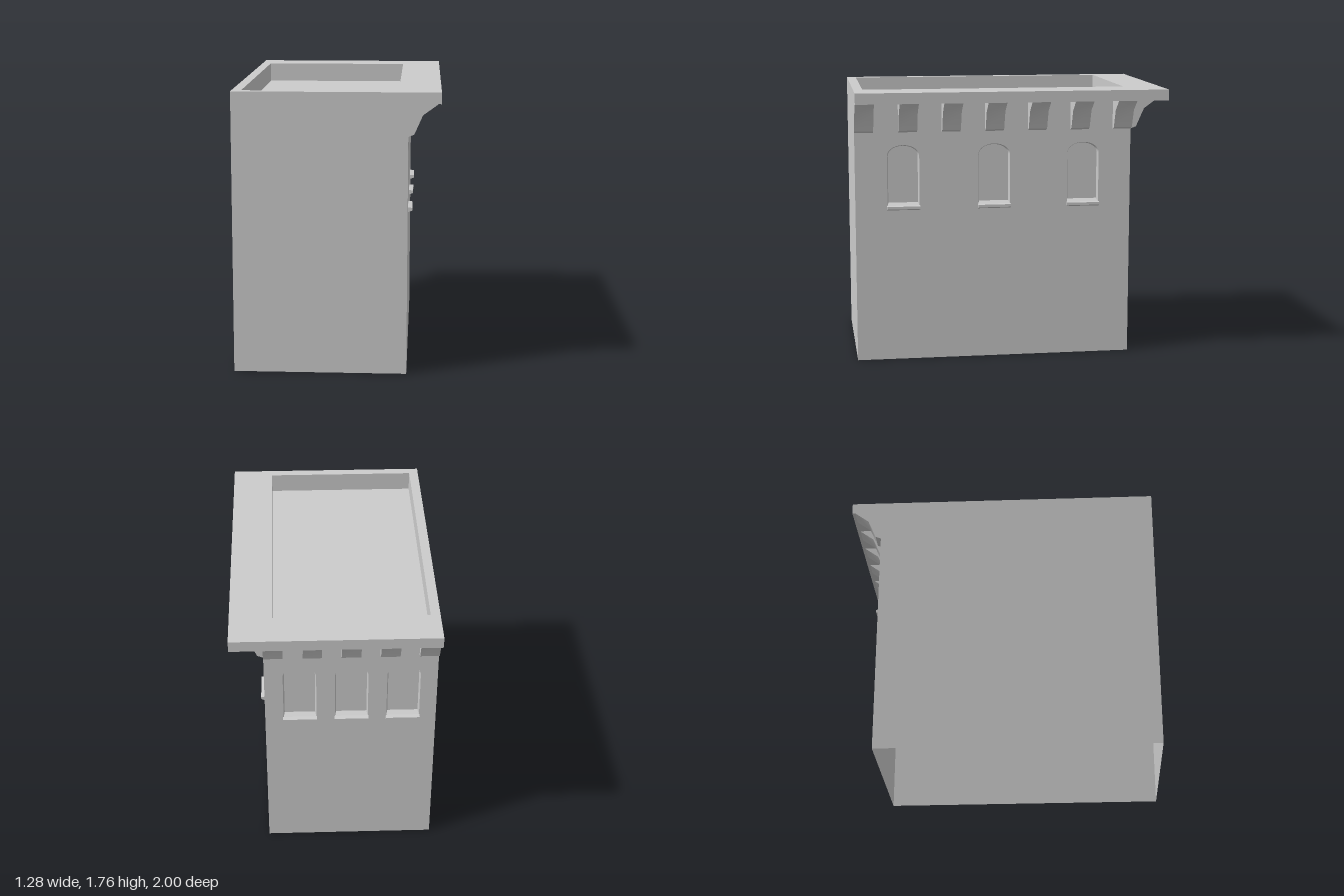
import * as THREE from 'three';
import { toCreasedNormals } from 'three/addons/utils/BufferGeometryUtils.js';

const stone = new THREE.MeshStandardMaterial({ color: 0xcccccc, side: THREE.DoubleSide });

// Overall extents
const LEFT = -0.64, RIGHT = 0.44, BACK = -0.8, FRONT = 1;
const EAVE = 1.695, TOP = 1.765, FLOOR = 1.64;
const CORBEL_W = 0.12;

function add(parent, name, geometry) {
  const mesh = new THREE.Mesh(geometry, stone);
  mesh.name = name;
  parent.add(mesh);
  return mesh;
}

function rect(x0, y0, x1, y1) {
  return [[x0, y0], [x1, y0], [x1, y1], [x0, y1]].map(p => new THREE.Vector2(...p));
}

// Counter-clockwise outline of a window with a flattened arch
function archOutline(u, half, bottom, spring, rise) {
  const pts = [new THREE.Vector2(u - half, bottom), new THREE.Vector2(u + half, bottom)];
  const n = 14;
  for (let i = 0; i <= n; i++) {
    const a = Math.PI * i / n;
    pts.push(new THREE.Vector2(u + half * Math.cos(a), spring + rise * Math.sin(a)));
  }
  return pts;
}

// Band of quads from an outline at z = 0 to a second one at z = -depth
function reveal(outer, inner, depth) {
  const pos = [], index = [], n = outer.length;
  for (let i = 0; i < n; i++) {
    pos.push(outer[i].x, outer[i].y, 0, inner[i].x, inner[i].y, -depth);
    const a = 2 * i, b = 2 * ((i + 1) % n);
    index.push(a, b, b + 1, a, b + 1, a + 1);
  }
  const g = new THREE.BufferGeometry();
  g.setAttribute('position', new THREE.Float32BufferAttribute(pos, 3));
  g.setIndex(index);
  return toCreasedNormals(g, 0.6);
}

// Side profile (outward, up) stretched across a width, centred on u
function profileBlock(points, width, u) {
  const shape = new THREE.Shape(points.map(p => new THREE.Vector2(...p)));
  const g = new THREE.ExtrudeGeometry(shape, { depth: width, bevelEnabled: false });
  g.rotateY(-Math.PI / 2);
  g.translate(u + width / 2, 0, 0);
  return toCreasedNormals(g, 0.6);
}

// Wall in its own plane facing +z, with recessed windows, sills and corbels
function decoratedWall(name, u0, u1, windows, corbels) {
  const wall = new THREE.Group();
  wall.name = name;
  const face = new THREE.Shape(rect(u0, 0, u1, EAVE));

  windows.forEach(u => {
    const outer = archOutline(u, 0.104, 1.015, 1.343, 0.07);
    const inner = archOutline(u, 0.096, 1.036, 1.341, 0.064);
    face.holes.push(new THREE.Path(outer));
    add(wall, 'windowReveal', reveal(outer, inner, 0.03));
    add(wall, 'windowPanel', new THREE.ShapeGeometry(new THREE.Shape(inner))).position.z = -0.03;
    add(wall, 'windowSill',
      profileBlock([[0, 0.99], [0.027, 1.0], [0.027, 1.017], [0, 1.02]], 0.214, u));
  });
  add(wall, 'wallFace', new THREE.ShapeGeometry(face));

  // Corbels run evenly from corner to corner
  const step = (u1 - u0 - CORBEL_W) / (corbels - 1);
  for (let i = 0; i < corbels; i++) {
    add(wall, 'corbel', profileBlock(
      [[0, 1.495], [0.036, 1.509], [0.088, 1.627], [0.175, 1.69], [0.18, EAVE], [0, EAVE]],
      CORBEL_W, u0 + CORBEL_W / 2 + i * step));
  }
  return wall;
}

export function createModel() {
  const model = new THREE.Group();
  model.name = 'building';

  // Decorated walls
  const rightWall = decoratedWall('rightWall', -FRONT, -BACK, [-0.69, -0.1, 0.485], 7);
  rightWall.rotation.y = Math.PI / 2;
  rightWall.position.x = RIGHT;
  const backWall = decoratedWall('backWall', -RIGHT, -LEFT, [-0.22, 0.105, 0.43], 5);
  backWall.rotation.y = Math.PI;
  backWall.position.z = BACK;
  model.add(rightWall, backWall);

  // Plain walls
  const frontWall = add(model, 'frontWall', new THREE.PlaneGeometry(RIGHT - LEFT, EAVE));
  frontWall.position.set((LEFT + RIGHT) / 2, EAVE / 2, FRONT);
  const plainWall = add(model, 'plainSideWall', new THREE.PlaneGeometry(FRONT - BACK, EAVE));
  plainWall.rotation.y = -Math.PI / 2;
  plainWall.position.set(LEFT, EAVE / 2, (FRONT + BACK) / 2);

  // Overhanging cornice slab around the roof well
  const well = rect(-0.58, -0.94, 0.38, 0.76);
  const slab = new THREE.Shape(rect(-0.64, -1, 0.64, 1));
  slab.holes.push(new THREE.Path(well));
  const cornice = add(model, 'cornice',
    new THREE.ExtrudeGeometry(slab, { depth: TOP - EAVE, bevelEnabled: false }));
  cornice.rotation.x = -Math.PI / 2;
  cornice.position.y = EAVE;

  // Sunken roof
  const parapet = add(model, 'parapetInside', reveal(well, well, EAVE - FLOOR));
  parapet.rotation.x = -Math.PI / 2;
  parapet.position.y = EAVE;
  const roof = add(model, 'roofFloor', new THREE.ShapeGeometry(new THREE.Shape(well)));
  roof.rotation.x = -Math.PI / 2;
  roof.position.y = FLOOR;

  return model;
}
